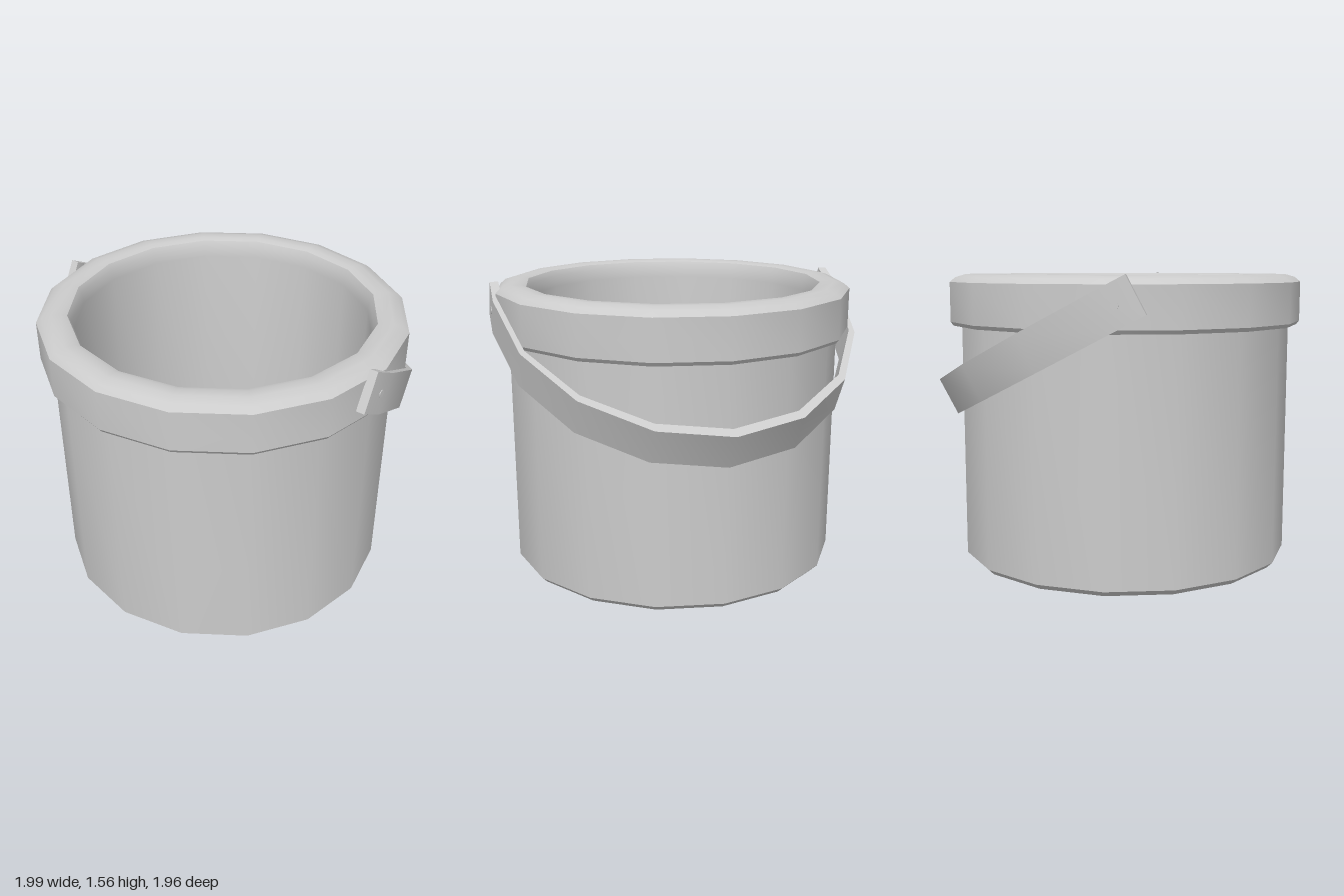
import * as THREE from 'three';
import { toCreasedNormals } from 'three/addons/utils/BufferGeometryUtils.js';

const SIDES = 16;
const CREASE = 0.6;

export function createModel() {
  const group = new THREE.Group();
  const material = new THREE.MeshStandardMaterial({ color: 0xcccccc });
  const add = (name, geometry, parent) => {
    const mesh = new THREE.Mesh(geometry, material);
    mesh.name = name;
    parent.add(mesh);
    return mesh;
  };

  // Bucket: one closed profile from the underside, over the rim, to the inner floor
  const profile = [
    [0, 0], [0.87, 0], [0.9, 0.03], [0.9, 1.28], [0.945, 1.28], [0.96, 1.3],
    [0.96, 1.51], [0.93, 1.535], [0.88, 1.55], [0.83, 1.55], [0.8, 1.54],
    [0.785, 1.51], [0.777, 1.45], [0.777, 0.08], [0, 0.08],
  ].map(([r, y]) => new THREE.Vector2(r, y));
  const bucket = add('bucket', toCreasedNormals(new THREE.LatheGeometry(profile, SIDES), CREASE), group);
  bucket.position.x = -0.04;

  // Handle: a tilted half-oval strap with straight tabs at its ends
  const handle = new THREE.Group();
  handle.name = 'handle';
  handle.position.set(-0.05, 1.385, 0);
  handle.rotation.z = -0.486;
  group.add(handle);

  const arc = (ru, rz) => Array.from({ length: SIDES / 2 + 1 }, (_, i) => {
    const a = -Math.PI / 2 + (i * 2 * Math.PI) / SIDES;
    return new THREE.Vector2(ru * Math.cos(a), rz * Math.sin(a));
  });
  const point = (u, z) => new THREE.Vector2(u, z);
  const outline = [
    point(-0.17, -0.975), ...arc(1.12, 0.98), point(-0.17, 0.975),
    point(-0.17, 0.93), point(-0.04, 0.93), ...arc(1.065, 0.952).reverse(),
    point(-0.04, -0.93), point(-0.17, -0.93),
  ];
  const width = 0.208;
  const strap = new THREE.ExtrudeGeometry(new THREE.Shape(outline), { depth: width, bevelEnabled: false });
  strap.translate(0, 0, -width / 2).rotateX(-Math.PI / 2);
  add('handleStrap', toCreasedNormals(strap, CREASE), handle);

  // Pivot pins joining the tabs to the rim
  for (const side of [-1, 1]) {
    const pin = add('pivotPin', new THREE.CylinderGeometry(0.02, 0.02, 0.1, 8), handle);
    pin.rotation.x = Math.PI / 2;
    pin.position.set(-0.06, 0, side * 0.932);
  }
  return group;
}
